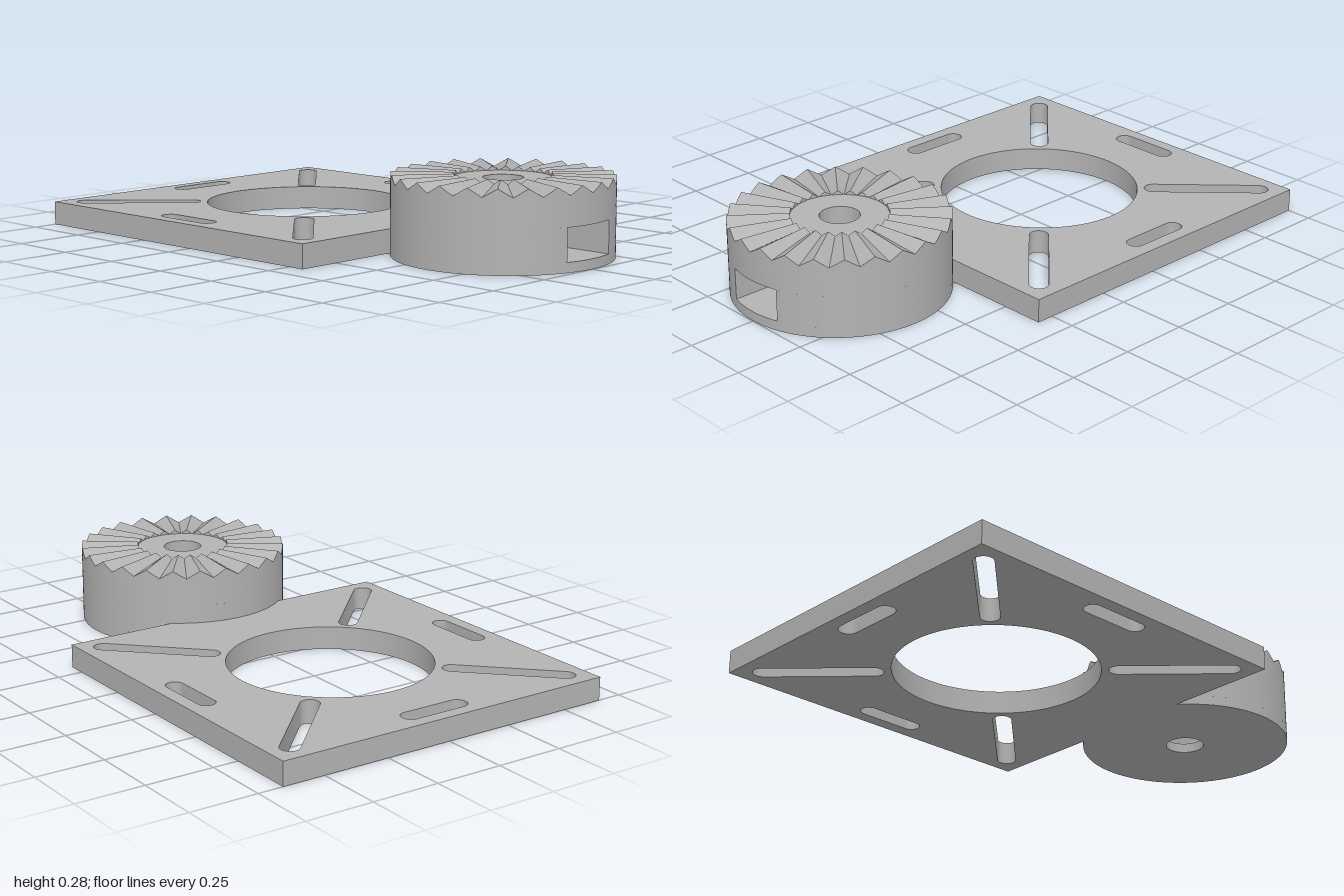
import * as THREE from 'three';
import { toCreasedNormals } from 'three/addons/utils/BufferGeometryUtils.js';

const HUB_Z = 0.615, HUB_R = 0.383, BORE_R = 0.07;
const PLATE_Z = -0.343, PLATE_HALF = 0.658;

const grey = new THREE.MeshStandardMaterial({ color: 0xb3b3b3 });
grey.name = 'grey';

function circle(Type, r) {
  const c = new Type();
  c.absarc(0, 0, r, 0, Math.PI * 2, false);
  return c;
}

// Rounded slot running between two points
function slot(x1, y1, x2, y2, r) {
  const a = Math.atan2(y2 - y1, x2 - x1);
  const p = new THREE.Path();
  p.absarc(x2, y2, r, a - Math.PI / 2, a + Math.PI / 2, false);
  p.absarc(x1, y1, r, a + Math.PI / 2, a + Math.PI * 1.5, false);
  p.closePath();
  return p;
}

// Horizontal slab: shape y becomes z, filling y0..y1 in height
function slab(name, shape, y0, y1, z) {
  const g = new THREE.ExtrudeGeometry(shape, { depth: y1 - y0, bevelEnabled: false, curveSegments: 72 });
  g.rotateX(Math.PI / 2);
  const mesh = new THREE.Mesh(toCreasedNormals(g, 0.5), grey);
  mesh.name = name;
  mesh.position.set(0, y1, z);
  return mesh;
}

function mountingPlate() {
  const h = PLATE_HALF, d = 0.576;
  const s = new THREE.Shape([[-h, -h], [h, -h], [h, h], [-h, h]].map(([x, y]) => new THREE.Vector2(x, y)));
  s.holes.push(circle(THREE.Path, 0.364));
  for (const sx of [-1, 1]) {
    for (const sy of [-1, 1]) s.holes.push(slot(sx * 0.3, sy * 0.3, sx * d, sy * d, 0.034));
    s.holes.push(slot(sx * d, -0.098, sx * d, 0.098, 0.032));
  }
  s.holes.push(slot(-0.098, -d, 0.098, -d, 0.034));
  return slab('mountingPlate', s, 0, 0.085, PLATE_Z);
}

function ring(r) {
  const s = circle(THREE.Shape, r);
  s.holes.push(circle(THREE.Path, BORE_R));
  return s;
}

// Hub layer with a nut pocket open to the front, ending in a V
function pocketLayer() {
  const w = 0.11, a = Math.acos(w / HUB_R), k = w / Math.sqrt(3);
  const s = new THREE.Shape();
  s.absarc(0, 0, HUB_R, Math.PI - a, Math.PI * 2 + a, false);
  s.lineTo(w, -k);
  s.lineTo(0, -2 * k);
  s.lineTo(-w, -k);
  s.closePath();
  return s;
}

// Radial face teeth: level crests, valleys deepening towards the rim
function toothCrown() {
  const teeth = 24, steps = 6, n = teeth * steps;
  const rIn = 0.17, base = 0.25, crest = 0.283, vIn = 0.268, vOut = 0.254;
  const pos = [];
  const quad = (a, b, c, d) => pos.push(...a, ...b, ...c, ...a, ...c, ...d);
  const sample = (i) => {
    const t = (i * 2 * Math.PI) / n, u = (i % steps) / steps;
    const f = 1 - Math.abs(2 * u - 1);
    const at = (r, y) => [r * Math.sin(t), y, r * Math.cos(t)];
    return {
      inBase: at(rIn, base), outBase: at(HUB_R, base),
      inTop: at(rIn, vIn + (crest - vIn) * f), outTop: at(HUB_R, vOut + (crest - vOut) * f),
    };
  };
  for (let i = 0; i < n; i++) {
    const p = sample(i), q = sample(i + 1);
    quad(p.inTop, p.outTop, q.outTop, q.inTop);
    quad(p.outBase, q.outBase, q.outTop, p.outTop);
    quad(q.inBase, p.inBase, p.inTop, q.inTop);
  }
  const g = new THREE.BufferGeometry();
  g.setAttribute('position', new THREE.Float32BufferAttribute(pos, 3));
  g.computeVertexNormals();
  const mesh = new THREE.Mesh(g, grey);
  mesh.name = 'toothCrown';
  mesh.position.z = HUB_Z;
  return mesh;
}

export function createModel() {
  const model = new THREE.Group();
  model.name = 'toothedHubAndPlate';
  const hub = new THREE.Group();
  hub.name = 'toothedHub';
  hub.add(
    slab('hubFloor', ring(HUB_R), 0, 0.035, HUB_Z),
    slab('nutPocketLayer', pocketLayer(), 0.035, 0.15, HUB_Z),
    slab('hubUpper', ring(HUB_R), 0.15, 0.25, HUB_Z),
    slab('centreBoss', ring(0.17), 0.25, 0.268, HUB_Z),
    toothCrown(),
  );
  model.add(mountingPlate(), hub);
  return model;
}
